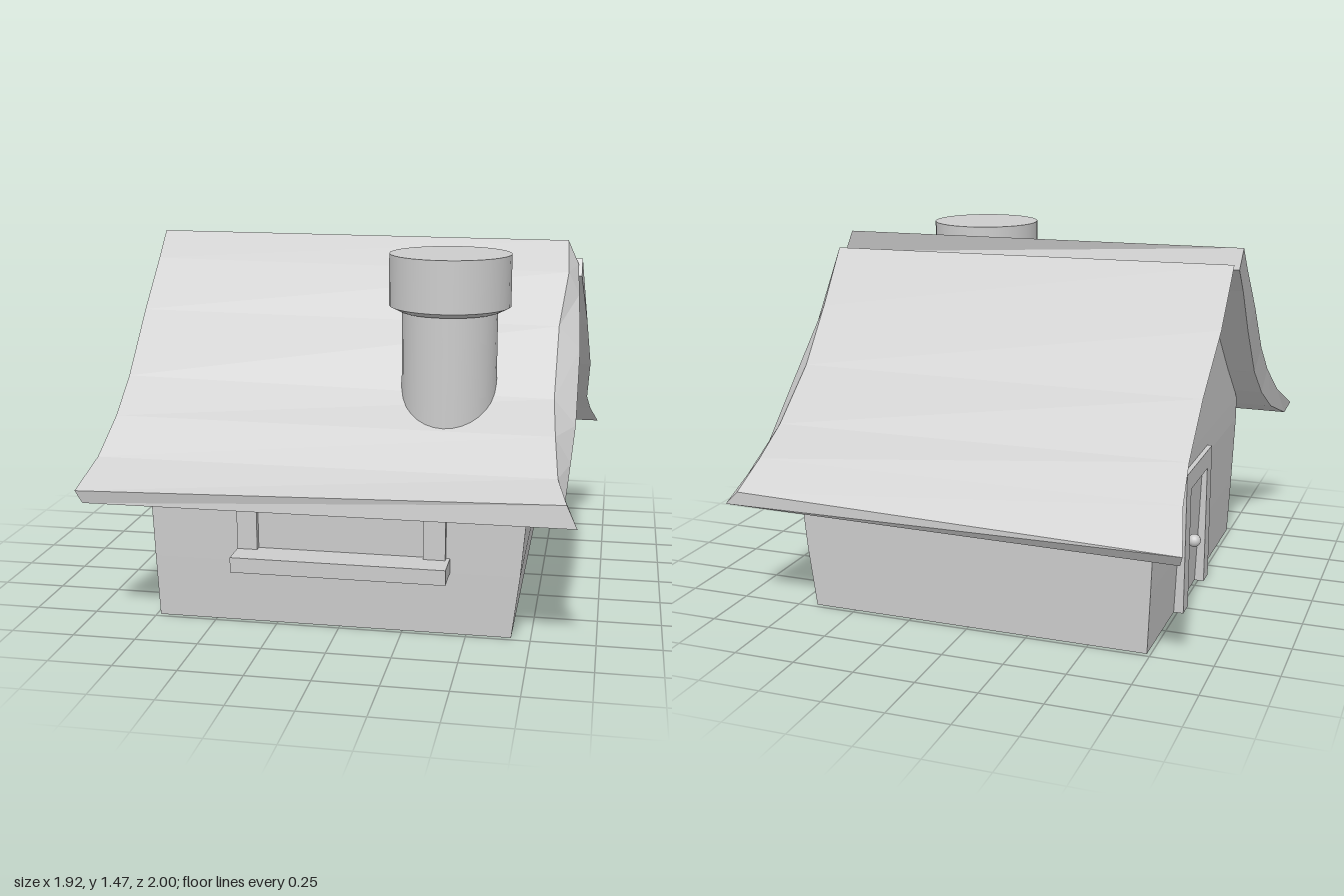
import * as THREE from 'three';

const mat = new THREE.MeshStandardMaterial({ color: 0xcccccc });
const flat = new THREE.MeshStandardMaterial({ color: 0xcccccc, flatShading: true });

function add(parent, name, geometry, x = 0, y = 0, z = 0, material = mat) {
  const mesh = new THREE.Mesh(geometry, material);
  mesh.name = name;
  mesh.position.set(x, y, z);
  parent.add(mesh);
  return mesh;
}

// Closed solid skinned over four-cornered rings, each ring [x,y,z] * 4
function loft(rings) {
  const pos = [];
  const p = (i, k) => rings[i].slice((k % 4) * 3, (k % 4) * 3 + 3);
  const quad = (a, b, c, d) => pos.push(...a, ...b, ...c, ...a, ...c, ...d);
  const last = rings.length - 1;
  for (let i = 0; i < last; i++)
    for (let k = 0; k < 4; k++) quad(p(i, k), p(i, k + 1), p(i + 1, k + 1), p(i + 1, k));
  quad(p(0, 3), p(0, 2), p(0, 1), p(0, 0));
  quad(p(last, 0), p(last, 1), p(last, 2), p(last, 3));
  const g = new THREE.BufferGeometry();
  g.setAttribute('position', new THREE.Float32BufferAttribute(pos, 3));
  g.computeVertexNormals();
  return g;
}

// Box given by its two opposite corners
function addBox(parent, name, [x0, x1], [y0, y1], [z0, z1]) {
  const g = new THREE.BoxGeometry(x1 - x0, y1 - y0, z1 - z0);
  return add(parent, name, g, (x0 + x1) / 2, (y0 + y1) / 2, (z0 + z1) / 2);
}

export function createModel() {
  const house = new THREE.Group();
  house.name = 'cottage';

  // Walls: outward-leaning box closing to a gable; y, left end, right end, back, front
  const levels = [
    [0, -0.735, 0.675, -0.73, 0.73],
    [0.25, -0.745, 0.705, -0.735, 0.737],
    [0.55, -0.755, 0.73, -0.74, 0.744],
    [0.65, -0.755, 0.735, -0.74, 0.745],
    [1.36, -0.74, 0.74, 0, 0],
  ];
  add(house, 'walls', loft(levels.map(([y, x0, x1, z0, z1]) =>
    [x0, y, z1, x1, y, z1, x1, y, z0, x0, y, z0])), 0, 0, 0, flat);

  // Roof slabs, eave to ridge; corners run along the top, then back along the underside
  add(house, 'frontRoof', loft([
    [-0.965, 0.585, 1.0, 0.88, 0.62, 0.975, 0.92, 0.535, 0.985, -0.94, 0.535, 0.99],
    [-0.925, 0.68, 0.85, 0.84, 0.68, 0.85, 0.87, 0.6, 0.85, -0.9, 0.6, 0.84],
    [-0.9, 0.81, 0.7, 0.82, 0.8, 0.7, 0.88, 0.7, 0.7, -0.88, 0.7, 0.69],
    [-0.895, 0.94, 0.55, 0.805, 0.91, 0.55, 0.89, 0.81, 0.55, -0.87, 0.83, 0.54],
    [-0.905, 1.17, 0.3, 0.805, 1.15, 0.3, 0.89, 1.06, 0.3, -0.88, 1.07, 0.29],
    [-0.905, 1.36, 0.1, 0.83, 1.34, 0.11, 0.875, 1.25, 0.11, -0.89, 1.27, 0.1],
    [-0.91, 1.465, -0.02, 0.82, 1.455, -0.02, 0.865, 1.36, 0, -0.9, 1.38, -0.045],
  ]), 0, 0, 0, flat);
  add(house, 'backRoof', loft([
    [0.9, 0.53, -0.935, -0.925, 0.515, -1.0, -0.91, 0.47, -0.97, 0.955, 0.475, -0.935],
    [0.86, 0.64, -0.82, -0.885, 0.65, -0.84, -0.86, 0.57, -0.82, 0.92, 0.56, -0.83],
    [0.84, 0.75, -0.68, -0.87, 0.77, -0.7, -0.84, 0.68, -0.68, 0.905, 0.65, -0.68],
    [0.83, 0.95, -0.46, -0.87, 0.96, -0.5, -0.84, 0.87, -0.47, 0.92, 0.86, -0.42],
    [0.85, 1.16, -0.25, -0.885, 1.18, -0.28, -0.85, 1.1, -0.26, 0.905, 1.08, -0.21],
    [0.88, 1.38, -0.03, -0.88, 1.4, -0.05, -0.86, 1.32, -0.02, 0.88, 1.31, 0],
  ]), 0, 0, 0, flat);

  // Chimney with a wider, bevelled cap
  const chimney = new THREE.Group();
  chimney.name = 'chimney';
  chimney.position.set(0.395, 0, 0.505);
  house.add(chimney);
  const drum = (name, top, bottom, y0, y1) =>
    add(chimney, name, new THREE.CylinderGeometry(top, bottom, y1 - y0, 32), 0, (y0 + y1) / 2, 0);
  drum('chimneyStem', 0.185, 0.185, 0.76, 1.24);
  drum('chimneyCapBevel', 0.235, 0.195, 1.235, 1.255);
  drum('chimneyCap', 0.235, 0.235, 1.255, 1.455);

  // Front window
  const win = new THREE.Group();
  win.name = 'window';
  house.add(win);
  addBox(win, 'windowSill', [-0.4, 0.435], [0.25, 0.31], [0.7, 0.875]);
  for (const [x0, x1] of [[-0.4, -0.32], [0.335, 0.42]])
    addBox(win, 'windowPost', [x0, x1], [0.31, 0.55], [0.7, 0.765]);
  addBox(win, 'windowHeader', [-0.32, 0.335], [0.465, 0.55], [0.7, 0.765]);

  // Door in the right-hand gable
  const door = new THREE.Group();
  door.name = 'door';
  house.add(door);
  for (const [z0, z1] of [[-0.31, -0.23], [0.06, 0.14]])
    addBox(door, 'doorPost', [-0.775, -0.7], [0, 0.59], [z0, z1]);
  addBox(door, 'doorHeader', [-0.775, -0.7], [0.51, 0.59], [-0.23, 0.06]);
  add(door, 'doorKnob', new THREE.SphereGeometry(0.027, 16, 12), -0.778, 0.265, -0.16);

  return house;
}
